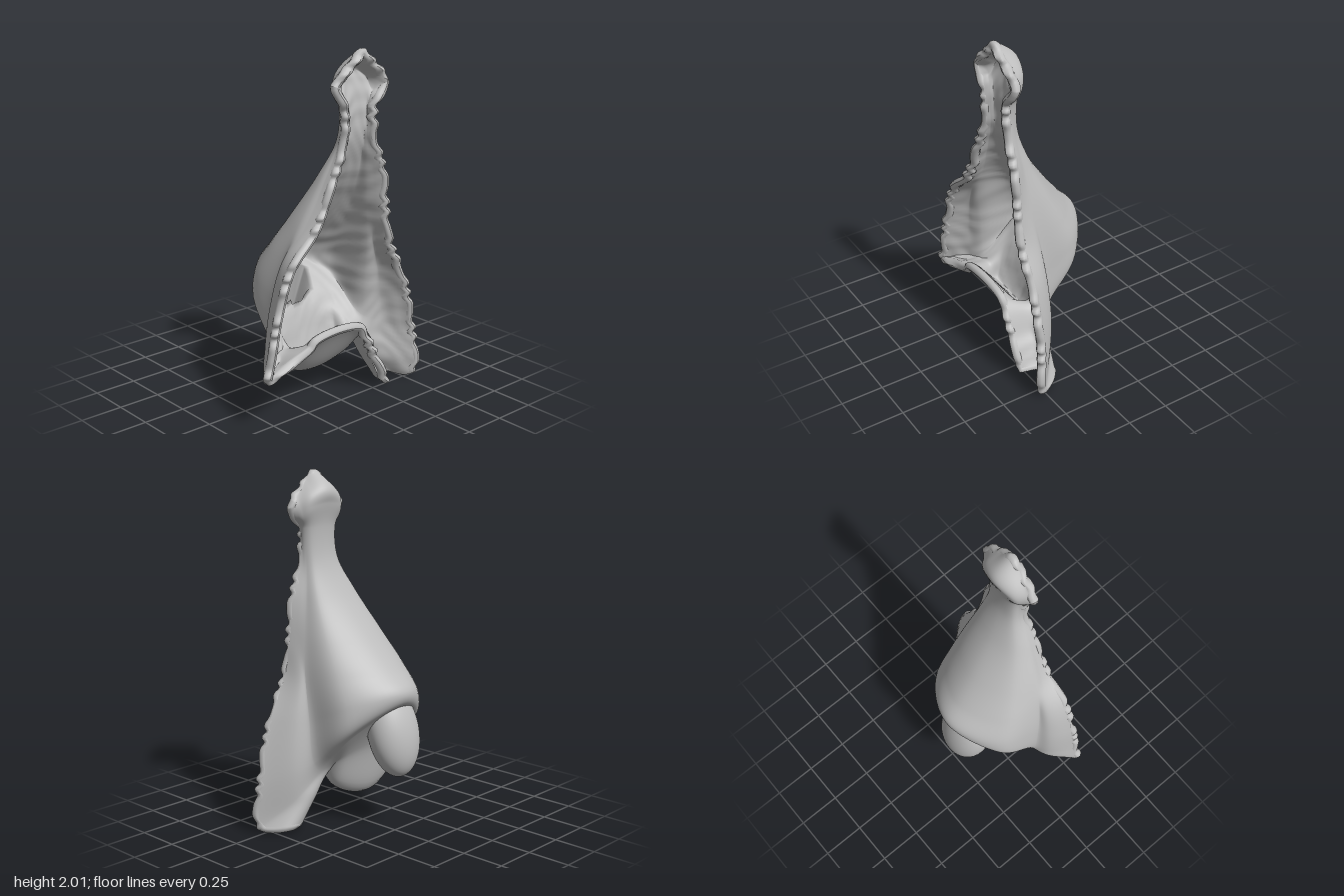
import * as THREE from 'three';

const V = (x = 0, y = 0, z = 0) => new THREE.Vector3(x, y, z);
const COLS = 72, ROWS = 130, HALF = 0.024;

// One cross-section: ridge, sides, folds, cheeks and the two free edges [z, y, x].
// The ridge line leans in z with height; the sides follow from ridge and fold.
function section(ridgeX, ridgeY, width, foldX, drop, left, right, spread = 0.82) {
  const lean = THREE.MathUtils.clamp(0.02 - 0.17 * (ridgeY - 0.79), -0.11, 0.05);
  const ridge = V(ridgeX, ridgeY, lean);
  const bulge = ridgeY < 0.95 && ridgeY > 0.6 ? 0.03 : 0;
  const half = (sign, [z, y = ridgeY - drop, x = 0.27]) => {
    const edge = V(x, y, z);
    const fold = V(foldX, ridgeY - drop, lean + sign * width);
    const cheek = fold.clone().lerp(edge, 0.5);
    cheek.x -= bulge;
    const side = ridge.clone().lerp(fold, 0.4);
    side.z = lean + sign * width * spread;
    return [edge, cheek, fold, side];
  };
  return new THREE.CatmullRomCurve3([...half(1, left), ridge, ...half(-1, right).reverse()]);
}

// Sections from the roof edge, down the ridge to the tip
const upper = [
  section(0.28, 1.975, 0.13, 0.27, 0.11, [0.075, 1.81], [-0.295, 1.81], 0.4),
  section(0.175, 1.885, 0.14, 0.24, 0.07, [0.07, 1.79], [-0.29, 1.79], 0.65),
  section(0.185, 1.82, 0.13, 0.23, 0.06, [0.05], [-0.27]),
  section(0.21, 1.69, 0.1, 0.245, 0, [0.01], [-0.21]),
  section(0.2, 1.5, 0.1, 0.24, 0, [0.01], [-0.215]),
  section(0.12, 1.3, 0.165, 0.21, 0, [0.09], [-0.28]),
  section(-0.05, 1.05, 0.25, 0.17, 0, [0.21], [-0.31]),
  section(-0.18, 0.89, 0.3, 0.15, 0.02, [0.38], [-0.345]),
  section(-0.27, 0.79, 0.33, 0.11, 0.16, [0.47], [-0.46]),
];
// Sections round the lower rim, through the groove and pouch, back to the arch
const lower = [
  section(-0.265, 0.75, 0.33, 0.09, 0.35, [0.52], [-0.54, 0.3]),
  section(-0.21, 0.7, 0.29, 0.09, 0.35, [0.55, 0.29], [-0.55, 0.03]),
  section(-0.07, 0.48, 0.25, 0.09, 0.14, [0.55, 0.28], [-0.45, 0.03, 0.14]),
  section(0.045, 0.165, 0.23, 0.13, -0.16, [0.54, 0.28], [-0.37, 0.03, 0.16]),
  section(0.27, 0.44, 0.2, 0.27, 0.06, [0.52, 0.28], [-0.33, 0.03]),
];
const sections = [...upper, ...lower];

// Hanging lobe: an ellipsoid opened along the wall under the tip
const lobe = { centre: V(-0.18, 0.545, 0.055), size: V(0.128, 0.26, 0.165), tilt: -0.25 };
const AXIS_Z = V(0, 0, 1);
const LOBE_DOWN = V(0, -1, 0).applyAxisAngle(AXIS_Z, lobe.tilt);
function inLobe(p, limit) {
  return p.clone().sub(lobe.centre).applyAxisAngle(AXIS_Z, -lobe.tilt).divide(lobe.size).length() < limit;
}

function lobeGeometry() {
  const g = new THREE.SphereGeometry(1, 48, 36);
  g.scale(...lobe.size).rotateZ(lobe.tilt).translate(...lobe.centre);
  const wall = new THREE.Plane().setFromNormalAndCoplanarPoint(V(-0.844, -0.537, 0), V(-0.13, 0.6, 0));
  const old = g.index.array, pos = g.attributes.position, kept = [];
  for (let i = 0; i < old.length; i += 3) {
    if (wall.distanceToPoint(V().fromBufferAttribute(pos, old[i])) > 0) kept.push(...old.slice(i, i + 3));
  }
  g.setIndex(kept);
  return g;
}

// Grid of points over the middle of the wall
function makeGrid() {
  const columns = [];
  for (let c = 0; c <= COLS; c++) {
    const curve = new THREE.CatmullRomCurve3(sections.map((s) => s.getPoint(c / COLS)));
    columns.push(curve.getPoints(ROWS));
  }
  const grid = [];
  for (let r = 0; r <= ROWS; r++) for (let c = 0; c <= COLS; c++) grid.push(columns[c][r]);
  return grid;
}

// The outer sheet is opened where the lobe joins it; the inner one is turned over
function sheet(points, inner) {
  const index = [], w = COLS + 1;
  for (let r = 0; r < ROWS; r++) for (let c = 0; c < COLS; c++) {
    const a = r * w + c, b = a + 1, d = a + w, e = d + 1;
    if (inner) index.push(a, d, b, b, d, e);
    else if (!inLobe(points[a].clone().lerp(points[e], 0.5), 0.93)) index.push(a, b, d, b, e, d);
  }
  const g = new THREE.BufferGeometry().setFromPoints(points);
  g.setIndex(index);
  g.computeVertexNormals();
  return g;
}

// Rounded, ragged lip round the free edge of the grid
function lipGeometry(grid) {
  const at = (r, c) => grid[r * (COLS + 1) + c];
  const loop = [];
  for (let c = 0; c < COLS; c += 3) loop.push(at(0, c));
  for (let r = 0; r < ROWS; r += 3) loop.push(at(r, COLS));
  for (let c = COLS; c > 0; c -= 3) loop.push(at(ROWS, c));
  for (let r = ROWS; r > 0; r -= 3) loop.push(at(r, 0));
  const spaced = loop.filter((p, i) => p.distanceTo(loop[(i + 1) % loop.length]) > 0.004);
  const g = new THREE.TubeGeometry(new THREE.CatmullRomCurve3(spaced, true), 500, 0.026, 10, true);
  const pos = g.attributes.position;
  for (let i = 0; i < pos.count; i++) {
    const p = V().fromBufferAttribute(pos, i);
    const k = 0.007 * Math.sin(p.y * 62 + Math.sin(p.y * 23) * 2);
    pos.setXYZ(i, p.x + k, p.y, p.z + k * THREE.MathUtils.clamp(p.z * 6, -1, 1));
  }
  g.computeVertexNormals();
  return g;
}

const ripple = (p) => Math.sin(p.y * 41 + 3 * Math.sin(p.z * 19)) * Math.sin(p.z * 47 + 2 * Math.sin(p.y * 15));

export function createModel() {
  const group = new THREE.Group();
  const grey = new THREE.MeshStandardMaterial({ color: 0xbdbdbd, side: THREE.DoubleSide });
  grey.name = 'plain grey';
  const add = (geometry, name) => {
    const mesh = new THREE.Mesh(geometry, grey);
    mesh.name = name;
    group.add(mesh);
  };

  // Smooth outer wall, and rippled inner wall sunk into the lobe
  const grid = makeGrid();
  const normals = sheet(grid, true).attributes.normal;
  const offset = (depth) => grid.map((p, i) =>
    p.clone().addScaledVector(V().fromBufferAttribute(normals, i), depth(p)));
  add(sheet(offset(() => -HALF), false), 'outerWall');
  const lining = offset((p) => HALF + 0.004 * ripple(p));
  for (const p of lining) while (inLobe(p, 0.86)) p.addScaledVector(LOBE_DOWN, 0.004);
  add(sheet(lining, true), 'innerWall');
  add(lipGeometry(grid), 'raggedLip');
  add(lobeGeometry(), 'hangingLobe');

  // Stand on the ground and centre
  const box = new THREE.Box3().setFromObject(group, true);
  const mid = box.getCenter(V());
  group.position.set(-mid.x, -box.min.y, -mid.z);
  return group;
}
